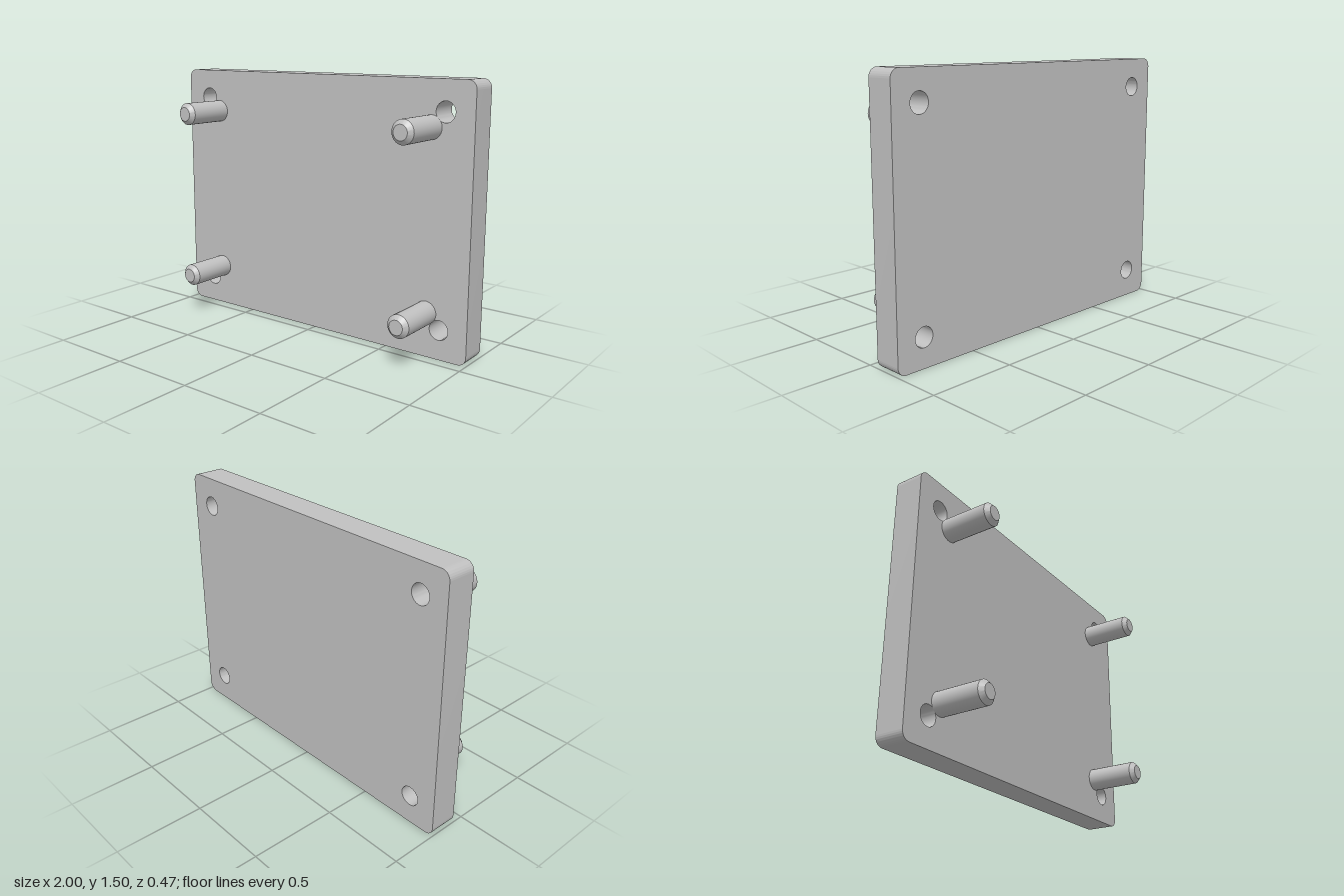
import * as THREE from 'three';
import { toCreasedNormals } from 'three/addons/utils/BufferGeometryUtils.js';

const BACK = -0.233, FACE = -0.067, TIP = 0.233;
const WIDTH = 2, HEIGHT = 1.5, CORNER = 0.05;
const CREASE = 0.5;

// Rounded rectangle with a round hole near each corner
function plateGeometry() {
  const w = WIDTH / 2, h = HEIGHT / 2, r = CORNER;
  const shape = new THREE.Shape();
  shape.absarc(w - r, h - r, r, 0, Math.PI / 2);
  shape.absarc(-w + r, h - r, r, Math.PI / 2, Math.PI);
  shape.absarc(-w + r, -h + r, r, Math.PI, Math.PI * 1.5);
  shape.absarc(w - r, -h + r, r, Math.PI * 1.5, Math.PI * 2);
  shape.closePath();
  for (const sx of [-1, 1]) for (const sy of [-1, 1]) {
    const hole = new THREE.Path();
    hole.absarc(sx * 0.833, sy * 0.583, 0.056, 0, Math.PI * 2, true);
    shape.holes.push(hole);
  }
  const geometry = new THREE.ExtrudeGeometry(shape, {
    depth: FACE - BACK, bevelEnabled: false, curveSegments: 20,
  });
  return toCreasedNormals(geometry.translate(0, h, BACK), CREASE);
}

// Round peg with a chamfered tip, pointing to +z
function pegGeometry() {
  const length = TIP - FACE, r = 0.065, chamfer = 0.024;
  const profile = [
    [0, 0], [r, 0], [r, length - chamfer], [r - chamfer, length], [0, length],
  ].map(([x, y]) => new THREE.Vector2(x, y));
  const geometry = new THREE.LatheGeometry(profile, 40).rotateX(Math.PI / 2);
  return toCreasedNormals(geometry, CREASE);
}

export function createModel() {
  const model = new THREE.Group();
  model.name = 'pegPlate';
  const grey = new THREE.MeshStandardMaterial({ color: 0xc0c0c0 });
  grey.name = 'light grey';

  const plate = new THREE.Mesh(plateGeometry(), grey);
  plate.name = 'plate';
  model.add(plate);

  // Four pegs, just inside the holes
  const geometry = pegGeometry();
  for (const [side, x] of [['Left', 0.75], ['Right', -0.75]]) {
    for (const [level, y] of [['lower', 0.25], ['upper', 1.25]]) {
      const peg = new THREE.Mesh(geometry, grey);
      peg.name = `${level}${side}Peg`;
      peg.position.set(x, y, FACE);
      model.add(peg);
    }
  }
  return model;
}
